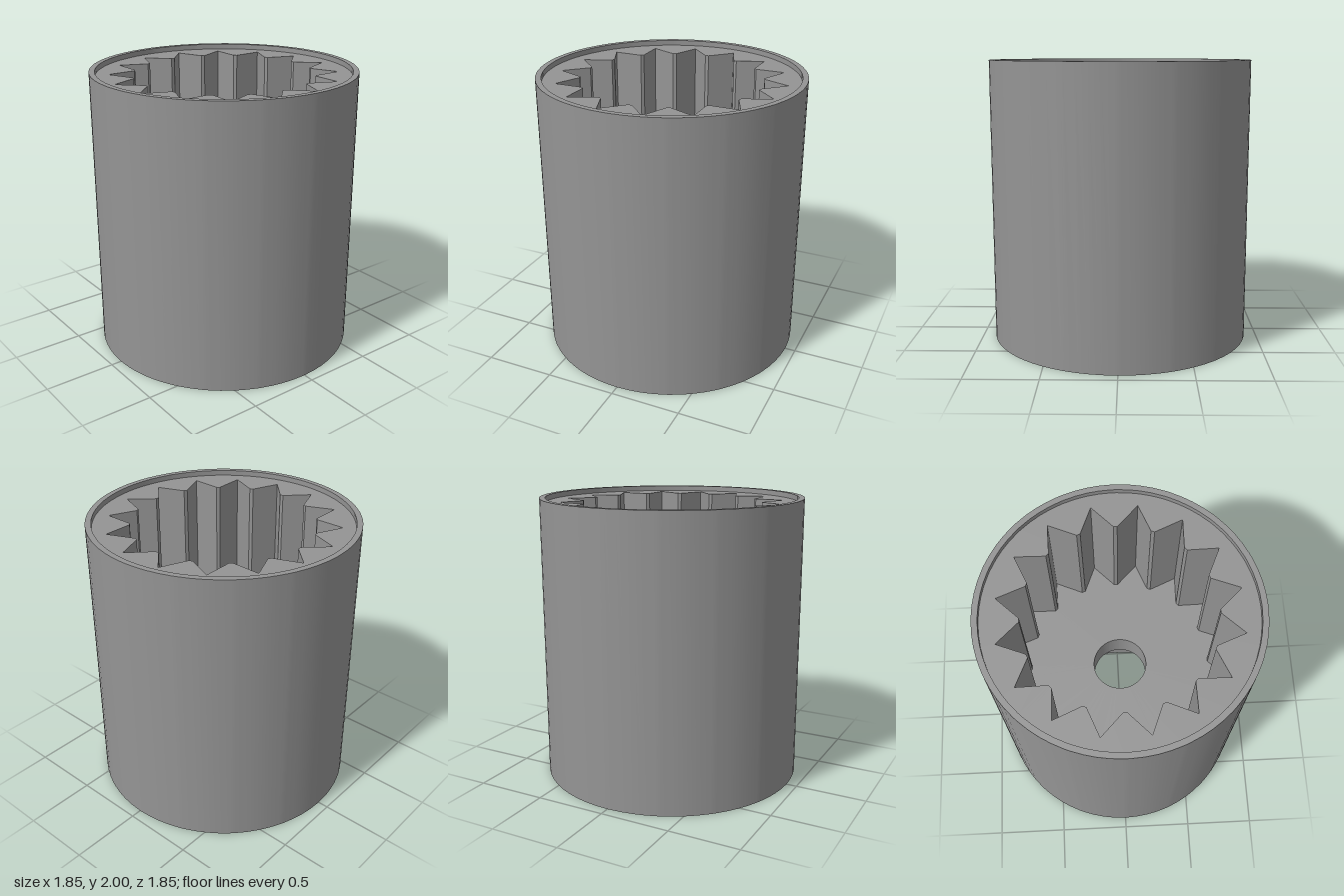
import * as THREE from 'three';

const STEP = Math.PI / 8;          // one of 16 teeth
const FLAT = 0.02;                 // half angle of the blunt tooth crest
const CREST = 0.632, TIP = 0.795;  // radii of tooth crests and groove tips
const DRIVE = 0.39;                // half width of the square drive
const CONE_R = 0.855, CONE_SLOPE = 0.67;

// Angles shared by every ring, so that all parts meet exactly
const angles = [];
for (let k = 0; k < 16; k++) {
  for (const o of [0, FLAT, STEP * 0.28, STEP / 2, STEP * 0.72, STEP - FLAT]) angles.push(k * STEP + o);
}

// Radius functions of the three outlines
const circle = (r) => () => r;
const square = (a) => DRIVE / Math.max(Math.abs(Math.cos(a)), Math.abs(Math.sin(a)));
const star = (a) => {
  let o = ((a % STEP) + STEP) % STEP;
  o = Math.min(o, STEP - o);
  if (o <= FLAT + 1e-6) return CREST;
  // straight groove flank between crest and tip, in polar form
  const span = STEP / 2 - FLAT;
  return CREST * TIP * Math.sin(span) /
    (CREST * Math.sin(o - FLAT) + TIP * Math.sin(STEP / 2 - o));
};

// Ring of points; height is a number or a function of the radius
const ring = (radius, height) => angles.map((a) => {
  const r = radius(a);
  const y = typeof height === 'function' ? height(r) : height;
  return new THREE.Vector3(r * Math.cos(a), y, r * Math.sin(a));
});

// Surface between two rings: lower to upper faces out, outer to inner faces up
function loft(ringA, ringB, flat) {
  const n = ringA.length, index = [];
  for (let i = 0; i < n; i++) {
    const j = (i + 1) % n;
    index.push(i, n + i, n + j, i, n + j, j);
  }
  let geo = new THREE.BufferGeometry().setFromPoints([...ringA, ...ringB]);
  geo.setIndex(index);
  if (flat) geo = geo.toNonIndexed();
  geo.computeVertexNormals();
  return geo;
}

export function createModel() {
  const group = new THREE.Group();
  group.name = 'socket';
  const steel = new THREE.MeshStandardMaterial({ color: 0x949494 });
  steel.name = 'steel grey';

  const add = (name, a, b, flat = false) => {
    const mesh = new THREE.Mesh(loft(a, b, flat), steel);
    mesh.name = name;
    group.add(mesh);
  };

  const R = 0.925, RIM = 0.885, BORE = 0.187;
  const TOP = 2, LEDGE = 1.963, FLOOR = 1.1, CEILING = 0.9;
  const coneY = (r) => (CONE_R - r) * CONE_SLOPE;

  // Outer body and top rim
  add('outerWall', ring(circle(R), 0), ring(circle(R), TOP));
  add('topRim', ring(circle(R), TOP), ring(circle(RIM), TOP), true);
  add('recessWall', ring(circle(RIM), TOP), ring(circle(RIM), LEDGE));
  add('ledge', ring(circle(RIM), LEDGE), ring(star, LEDGE), true);

  // Toothed cavity
  add('toothedWall', ring(star, LEDGE), ring(star, FLOOR), true);
  add('cavityFloor', ring(star, FLOOR), ring(circle(BORE), FLOOR), true);

  // Round hole through the web
  add('bore', ring(circle(BORE), FLOOR), ring(circle(BORE), CEILING));

  // Square drive opening into a conical countersink
  add('driveCeiling', ring(circle(BORE), CEILING), ring(square, CEILING), true);
  add('driveWalls', ring(square, CEILING), ring(square, coneY), true);
  add('countersink', ring(square, coneY), ring(circle(CONE_R), 0));
  add('bottomRim', ring(circle(CONE_R), 0), ring(circle(R), 0), true);

  return group;
}
